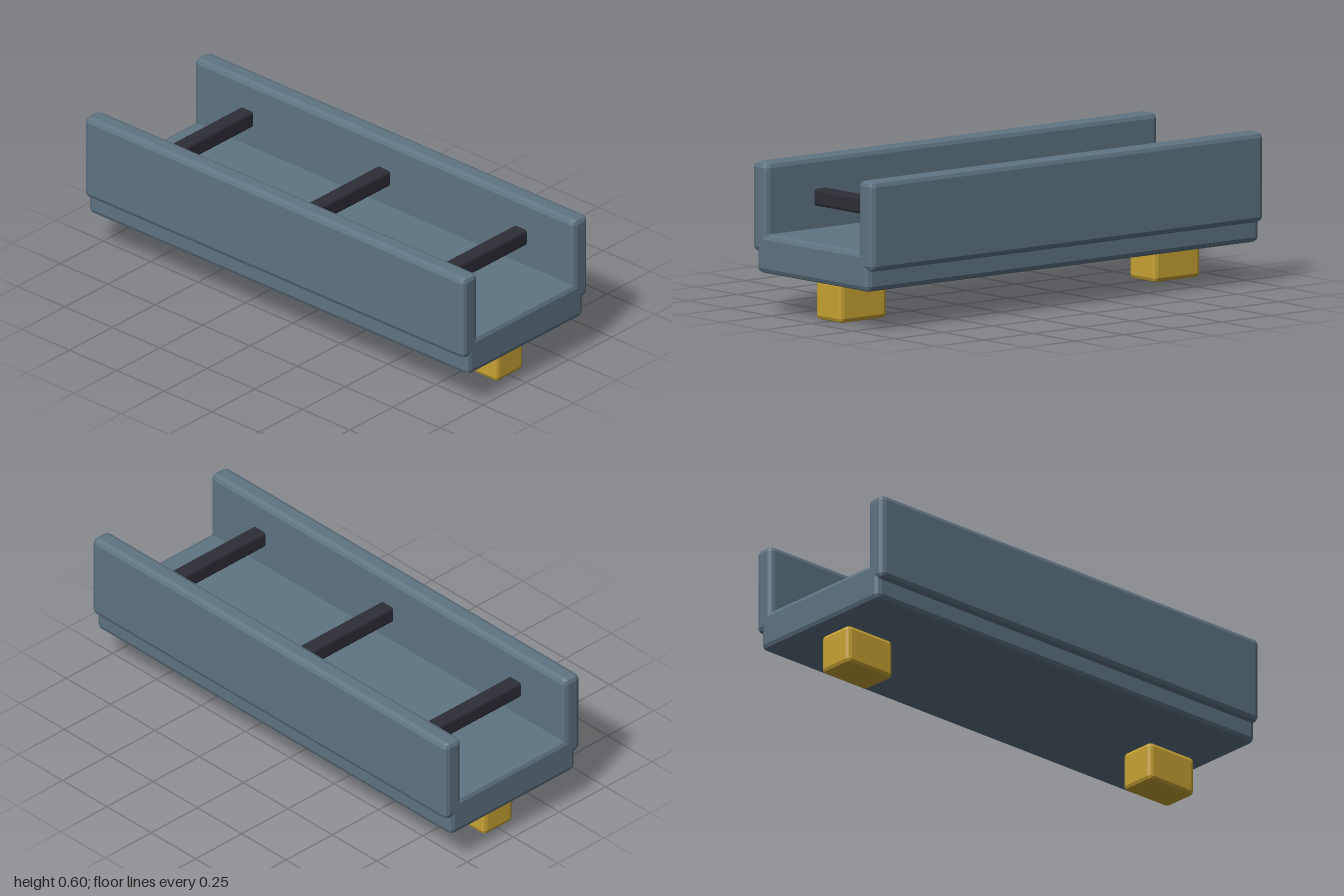
import * as THREE from 'three';
import { RoundedBoxGeometry } from 'three/addons/geometries/RoundedBoxGeometry.js';

export function createModel() {
  const group = new THREE.Group();
  group.name = 'openTray';

  const material = (name, color) => {
    const m = new THREE.MeshStandardMaterial({ color });
    m.name = name;
    return m;
  };
  const slate = material('slateBlue', 0x5f7483);
  const dark = material('darkCharcoal', 0x2e2d36);
  const gold = material('mustardGold', 0xc9a334);

  // Bevelled box with faceted edges, given by its centre and size
  const block = (name, mat, [x, y, z], [w, h, d], bevel) => {
    const geometry = new RoundedBoxGeometry(w, h, d, 1, bevel);
    geometry.computeVertexNormals(); // unindexed, so each facet is flat
    const mesh = new THREE.Mesh(geometry, mat);
    mesh.name = name;
    mesh.position.set(x, y, z);
    group.add(mesh);
  };

  // Floor slab
  block('floor', slate, [0, 0.241, 0], [2, 0.156, 0.676], 0.021);

  // Long side walls, overhanging the floor slightly
  for (const [name, s] of [['frontWall', 1], ['backWall', -1]]) {
    block(name, slate, [0, 0.423, s * 0.321], [2, 0.356, 0.086], 0.021);
  }

  // Cross bars between the walls
  for (const [name, x] of [['rightBar', -0.72], ['middleBar', 0], ['leftBar', 0.72]]) {
    block(name, dark, [x, 0.442, 0], [0.066, 0.067, 0.6], 0.01);
  }

  // Feet under each end
  for (const [name, s] of [['rightFoot', -1], ['leftFoot', 1]]) {
    block(name, gold, [s * 0.8, 0.082, 0], [0.236, 0.161, 0.158], 0.017);
  }

  return group;
}
